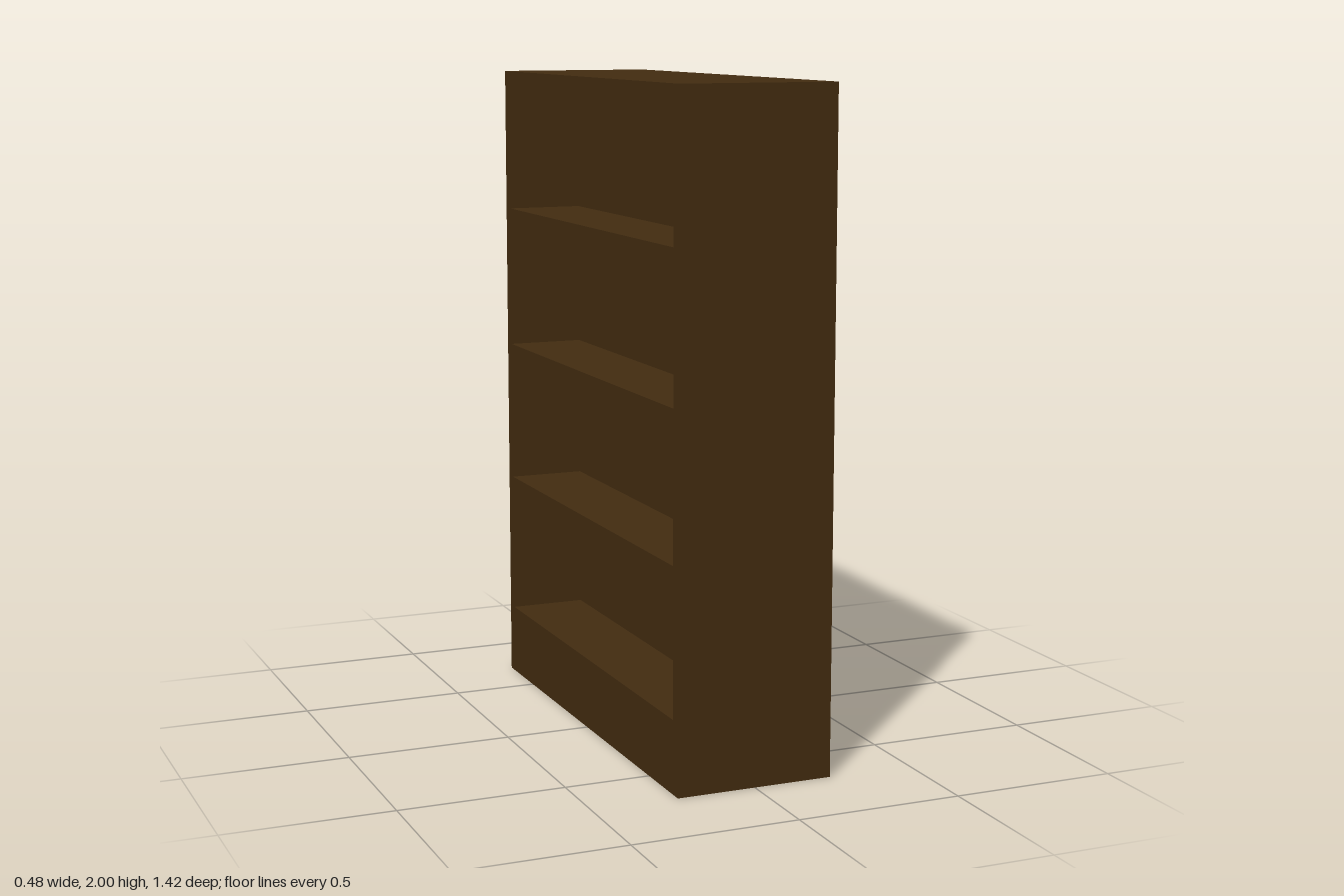
import * as THREE from 'three';

const WIDTH = 1.424, HEIGHT = 2, DEPTH = 0.48;
const SIDE = 0.036, BASE = 0.22, SHELF = 0.04;
const BAYS = 4, BAY_HEIGHT = 0.4058, BAY_WIDTH = WIDTH - 2 * SIDE;

// Traces a rectangle centred on x = 0 and standing on y
function rectangle(path, width, y, height) {
  const w = width / 2;
  path.moveTo(-w, y);
  path.lineTo(w, y);
  path.lineTo(w, y + height);
  path.lineTo(-w, y + height);
  path.closePath();
  return path;
}

export function createModel() {
  const model = new THREE.Group();
  model.name = 'doubleSidedBookcase';

  const darkWood = new THREE.MeshStandardMaterial({ color: 0x432c10 });
  darkWood.name = 'darkWood';

  // Outer case and shelves: one slab with a through opening per bay
  const outline = rectangle(new THREE.Shape(), WIDTH, 0, HEIGHT);

  for (let i = 0; i < BAYS; i++) {
    const y = BASE + i * (BAY_HEIGHT + SHELF);
    outline.holes.push(rectangle(new THREE.Path(), BAY_WIDTH, y, BAY_HEIGHT));

    // Thin central panel that divides the two sides of the bay
    const panel = new THREE.Mesh(new THREE.BoxGeometry(0.006, BAY_HEIGHT, BAY_WIDTH), darkWood);
    panel.name = `dividerPanel${i + 1}`;
    panel.position.y = y + BAY_HEIGHT / 2;
    model.add(panel);
  }

  const caseGeometry = new THREE.ExtrudeGeometry(outline, { depth: DEPTH, bevelEnabled: false });
  caseGeometry.translate(0, 0, -DEPTH / 2);
  caseGeometry.rotateY(Math.PI / 2); // openings face +x and -x

  const caseMesh = new THREE.Mesh(caseGeometry, darkWood);
  caseMesh.name = 'caseAndShelves';
  model.add(caseMesh);

  return model;
}
